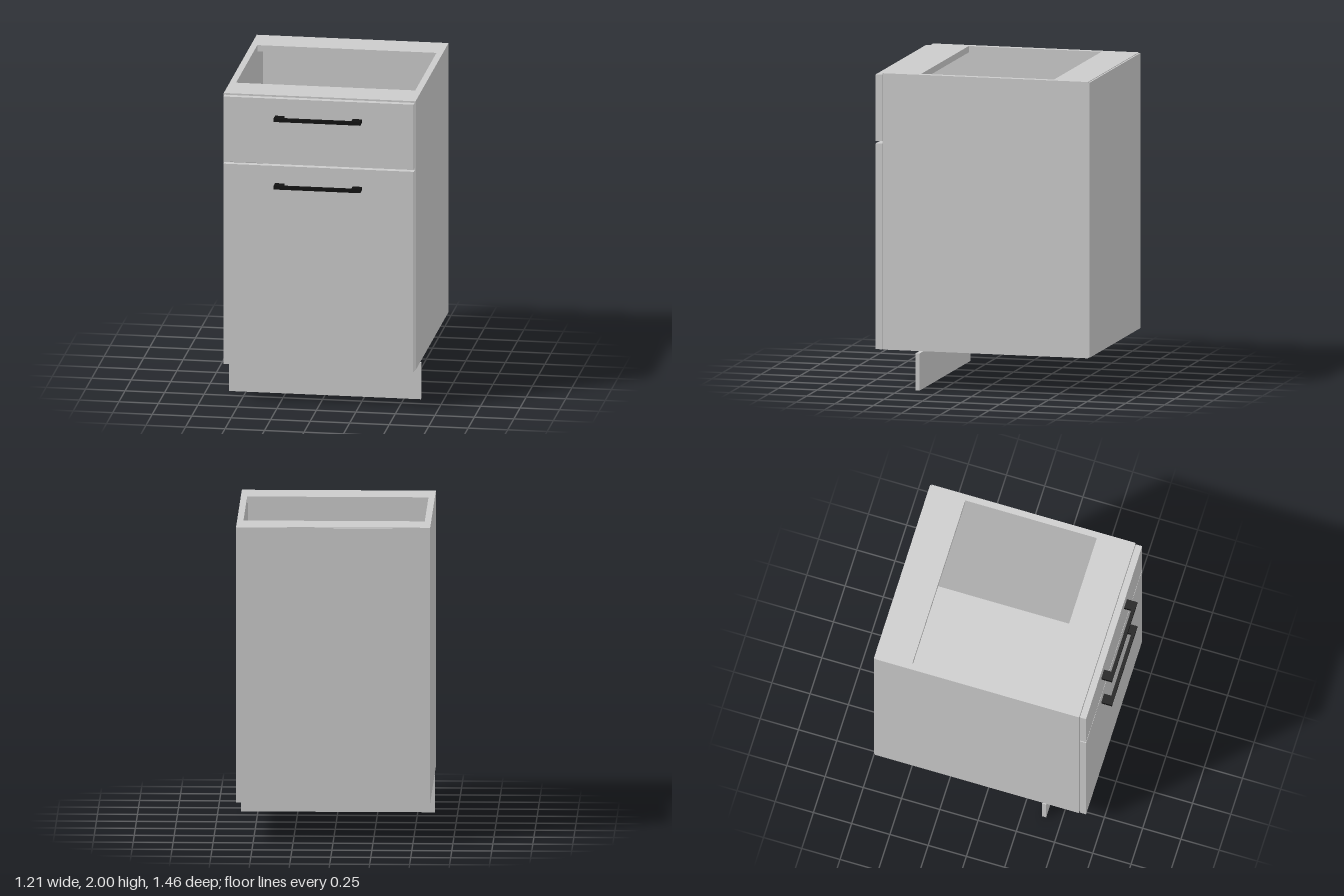
import * as THREE from 'three';

const grey = new THREE.MeshStandardMaterial({ color: 0xcccccc });
const black = new THREE.MeshStandardMaterial({ color: 0x111111 });

// Box given by its minimum and maximum on each axis
function panel(name, [x0, x1], [y0, y1], [z0, z1], material = grey) {
  const mesh = new THREE.Mesh(new THREE.BoxGeometry(x1 - x0, y1 - y0, z1 - z0), material);
  mesh.position.set((x0 + x1) / 2, (y0 + y1) / 2, (z0 + z1) / 2);
  mesh.name = name;
  return mesh;
}

// Bar handle with two square-ended posts
function handle(name, y) {
  const group = new THREE.Group();
  group.name = name;
  const h = [y - 0.011, y + 0.011];
  group.add(
    panel('handleBar', [-0.215, 0.215], h, [0.708, 0.73], black),
    panel('handlePostLeft', [0.215, 0.275], h, [0.66, 0.73], black),
    panel('handlePostRight', [-0.275, -0.215], h, [0.66, 0.73], black),
  );
  return group;
}

export function createModel() {
  const model = new THREE.Group();
  model.name = 'baseCabinet';
  const W = 0.607, inner = 0.567, bottom = 0.25, top = 2;
  const back = -0.716, front = 0.617;

  // Carcass: sides, floor, thin back and two top rails
  const carcass = new THREE.Group();
  carcass.name = 'carcass';
  carcass.add(
    panel('sideLeft', [inner, W], [bottom, top], [back, front]),
    panel('sideRight', [-W, -inner], [bottom, top], [back, front]),
    panel('floorPanel', [-inner, inner], [bottom, bottom + 0.04], [back, front]),
    panel('backPanel', [-W + 0.004, W - 0.004], [bottom + 0.004, top - 0.004], [-0.726, back]),
    panel('topRailFront', [-inner, inner], [top - 0.04, top], [0.375, front]),
    panel('topRailBack', [-inner, inner], [top - 0.04, top], [back, -0.485]),
  );
  model.add(carcass);

  // Drawer front and door
  model.add(
    panel('drawerFront', [-0.602, 0.602], [1.568, 1.99], [0.62, 0.661]),
    panel('door', [-0.602, 0.602], [bottom, 1.553], [0.62, 0.661]),
    handle('drawerHandle', 1.869),
    handle('doorHandle', 1.43),
  );

  // Set-back plinth
  model.add(panel('plinth', [-W, W], [0, 0.235], [0.375, 0.402]));
  return model;
}
